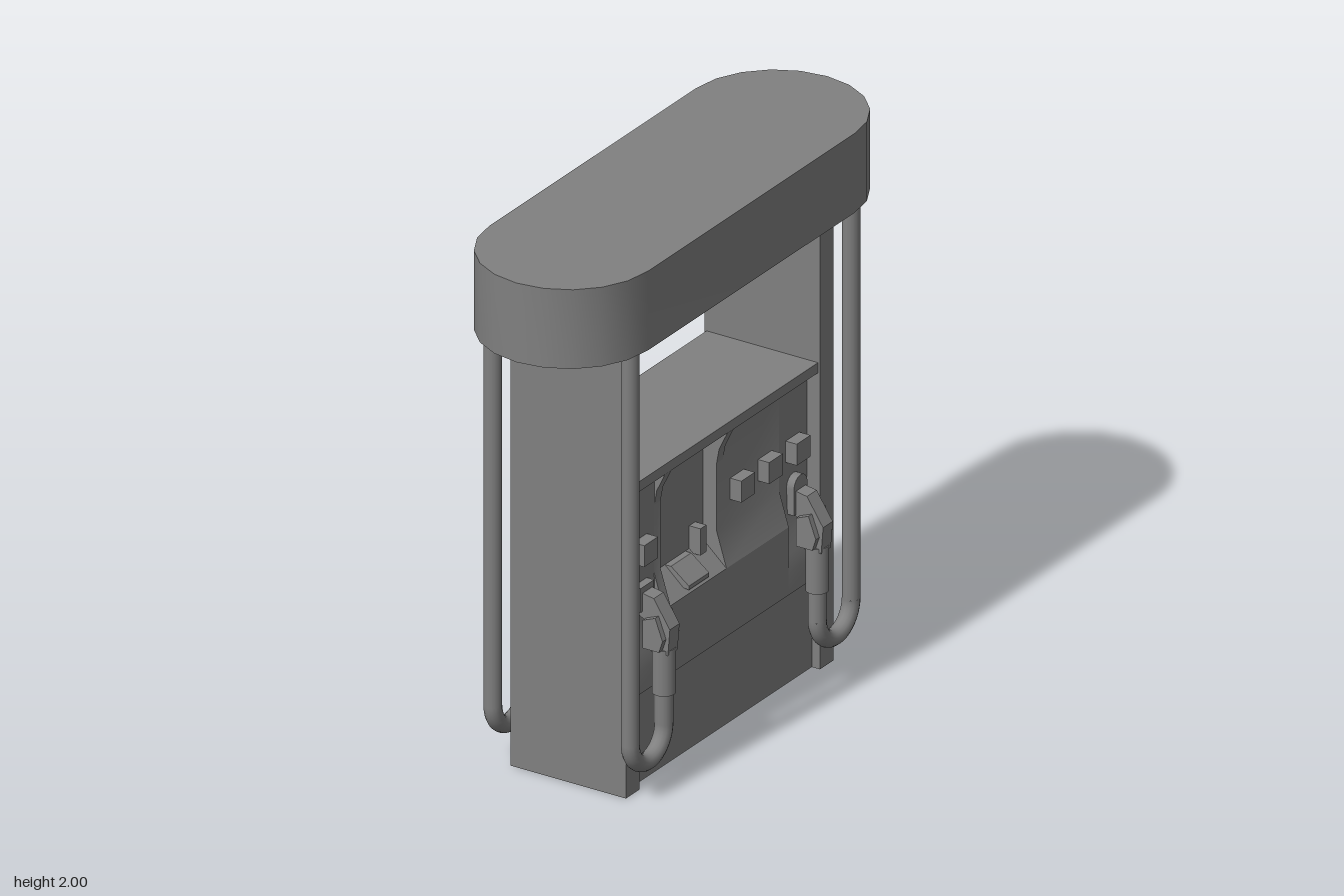
import * as THREE from 'three';
import { toCreasedNormals } from 'three/addons/utils/BufferGeometryUtils.js';

const material = new THREE.MeshStandardMaterial({ color: 0x808080 });

function add(parent, name, geometry, x = 0, y = 0, z = 0) {
  const mesh = new THREE.Mesh(geometry, material);
  mesh.name = name;
  mesh.position.set(x, y, z);
  parent.add(mesh);
  return mesh;
}

// Box given by its extents
function block(parent, name, x0, x1, y0, y1, z0, z1) {
  return add(parent, name, new THREE.BoxGeometry(x1 - x0, y1 - y0, z1 - z0),
    (x0 + x1) / 2, (y0 + y1) / 2, (z0 + z1) / 2);
}

// Profile in x,y drawn out from z0 to z1
function prism(parent, name, points, z0, z1) {
  const shape = new THREE.Shape(points.map(([x, y]) => new THREE.Vector2(x, y)));
  const geometry = new THREE.ExtrudeGeometry(shape, { depth: z1 - z0, bevelEnabled: false });
  return add(parent, name, toCreasedNormals(geometry, 0.4), 0, 0, z0);
}

// Round rod between two points
function rod(parent, name, a, b, radius) {
  const from = new THREE.Vector3(...a), to = new THREE.Vector3(...b);
  const dir = to.clone().sub(from);
  const mesh = add(parent, name, new THREE.CylinderGeometry(radius, radius, dir.length(), 16));
  mesh.position.copy(from).add(to).multiplyScalar(0.5);
  mesh.quaternion.setFromUnitVectors(new THREE.Vector3(0, 1, 0), dir.normalize());
}

// Hose hanging from the canopy, with the nozzle it feeds; s is the end of the machine
function createDispenser(s) {
  const group = new THREE.Group();
  group.name = 'hoseAndNozzle';
  const x = 0.277, outer = 0.68 * s, inner = 0.472 * s, bendY = 0.232;

  rod(group, 'hoseDrop', [x, 1.71, outer], [x, bendY, outer], 0.032);
  const bend = new THREE.TorusGeometry(0.104, 0.032, 14, 20, Math.PI);
  bend.rotateX(Math.PI).rotateY(Math.PI / 2);
  add(group, 'hoseBend', bend, x, bendY, (outer + inner) / 2);
  rod(group, 'hoseRise', [x, bendY, inner], [x, 0.36, inner], 0.032);

  rod(group, 'nozzleSleeve', [x, 0.345, inner], [x, 0.515, inner], 0.041);
  // Handle leaning in towards the cabinet
  prism(group, 'nozzleBody', [
    [0.245, 0.5], [0.312, 0.5], [0.32, 0.6], [0.255, 0.7], [0.17, 0.715], [0.17, 0.64], [0.235, 0.6],
  ], inner - 0.03, inner + 0.03);
  prism(group, 'nozzleCollar', [
    [0.225, 0.515], [0.29, 0.515], [0.305, 0.56], [0.275, 0.64], [0.225, 0.62],
  ], inner - 0.052, inner + 0.052);

  // Holder on the panel: square at one end, arched at the other
  if (s > 0) {
    block(group, 'nozzleHolder', 0.14, 0.21, 0.64, 0.73, inner - 0.042, inner + 0.042);
  } else {
    block(group, 'nozzleHolder', 0.14, 0.21, 0.62, 0.717, inner - 0.042, inner + 0.042);
    rod(group, 'nozzleHolderArch', [0.14, 0.717, inner], [0.21, 0.717, inner], 0.042);
  }
  return group;
}

// Everything on one long face of the cabinet
function createServiceSide() {
  const side = new THREE.Group();
  side.name = 'serviceSide';
  const core = 0.1, screen = 0.125, back = 0.18, front = 0.22;

  block(side, 'lowerPanel', core, front, 0.345, 0.6, -0.383, 0.385);

  // Upper panel, with its sloping shelf, either side of the recessed console
  for (const [z0, z1] of [[-0.383, 0], [0.345, 0.385]]) {
    prism(side, 'upperPanel', [
      [core, 0.6], [front, 0.6], [back, 0.73], [back, 1.11], [core, 1.11],
    ], z0, z1);
  }

  // Nozzle bays curving in at both ends
  for (const s of [-1, 1]) {
    const z0 = s > 0 ? 0.385 : -0.557;
    prism(side, 'nozzleBay', [
      [core, 0.345], [front, 0.345], [front, 0.43], [0.21, 0.49], [0.193, 0.56], [0.183, 0.64],
      [back, 0.73], [back, 1.11], [core, 1.11],
    ], z0, z0 + 0.174);
    side.add(createDispenser(s));
  }

  // Recessed console with screen face and sloping key shelf
  prism(side, 'console', [
    [core, 0.6], [front, 0.6], [screen, 0.685], [screen, 1.11], [core, 1.11],
  ], 0, 0.345);
  prism(side, 'keypad', [
    [0.18, 0.62], [0.222, 0.615], [0.222, 0.63], [0.15, 0.685], [0.12, 0.685],
  ], 0.11, 0.235);
  block(side, 'cardReader', 0.11, 0.17, 0.67, 0.77, 0.048, 0.085);

  // Brackets flaring out under the lip beside the console
  for (const z of [-0.039, 0.345]) {
    prism(side, 'consoleBracket', [
      [core, 0.985], [back, 0.985], [0.19, 1.04], [0.224, 1.11], [core, 1.11],
    ], z, z + 0.039);
  }

  // Grade buttons
  for (const z of [0.472, -0.125, -0.297, -0.467]) {
    block(side, 'gradeButton', 0.14, 0.225, 0.815, 0.895, z - 0.042, z + 0.042);
  }
  return side;
}

export function createModel() {
  const model = new THREE.Group();
  model.name = 'fuelPump';

  // Canopy with rounded, faceted ends
  const outline = new THREE.Shape();
  outline.absarc(0, 0.637, 0.32, 0, Math.PI, false);
  outline.absarc(0, -0.637, 0.32, Math.PI, Math.PI * 2, false);
  const canopy = new THREE.ExtrudeGeometry(outline, { depth: 0.297, bevelEnabled: false, curveSegments: 5 });
  canopy.rotateX(-Math.PI / 2);
  add(model, 'canopy', toCreasedNormals(canopy, 0.5), 0, 1.703, 0);

  // End pillars
  for (const s of [-1, 1]) {
    const pillar = block(model, 'pillar', -0.233, 0.233, 0, 1.71, -0.0415, 0.0415);
    pillar.position.z = 0.5975 * s;
  }

  // Cabinet between the pillars
  block(model, 'cabinetBase', -0.2, 0.2, 0, 0.345, -0.557, 0.557);
  block(model, 'cabinetCore', -0.11, 0.11, 0.34, 1.12, -0.557, 0.557);
  block(model, 'cabinetTop', -0.225, 0.225, 1.11, 1.148, -0.557, 0.557);

  // The two long faces match under a half turn
  for (const turn of [0, Math.PI]) {
    const side = createServiceSide();
    side.rotation.y = turn;
    model.add(side);
  }
  return model;
}
